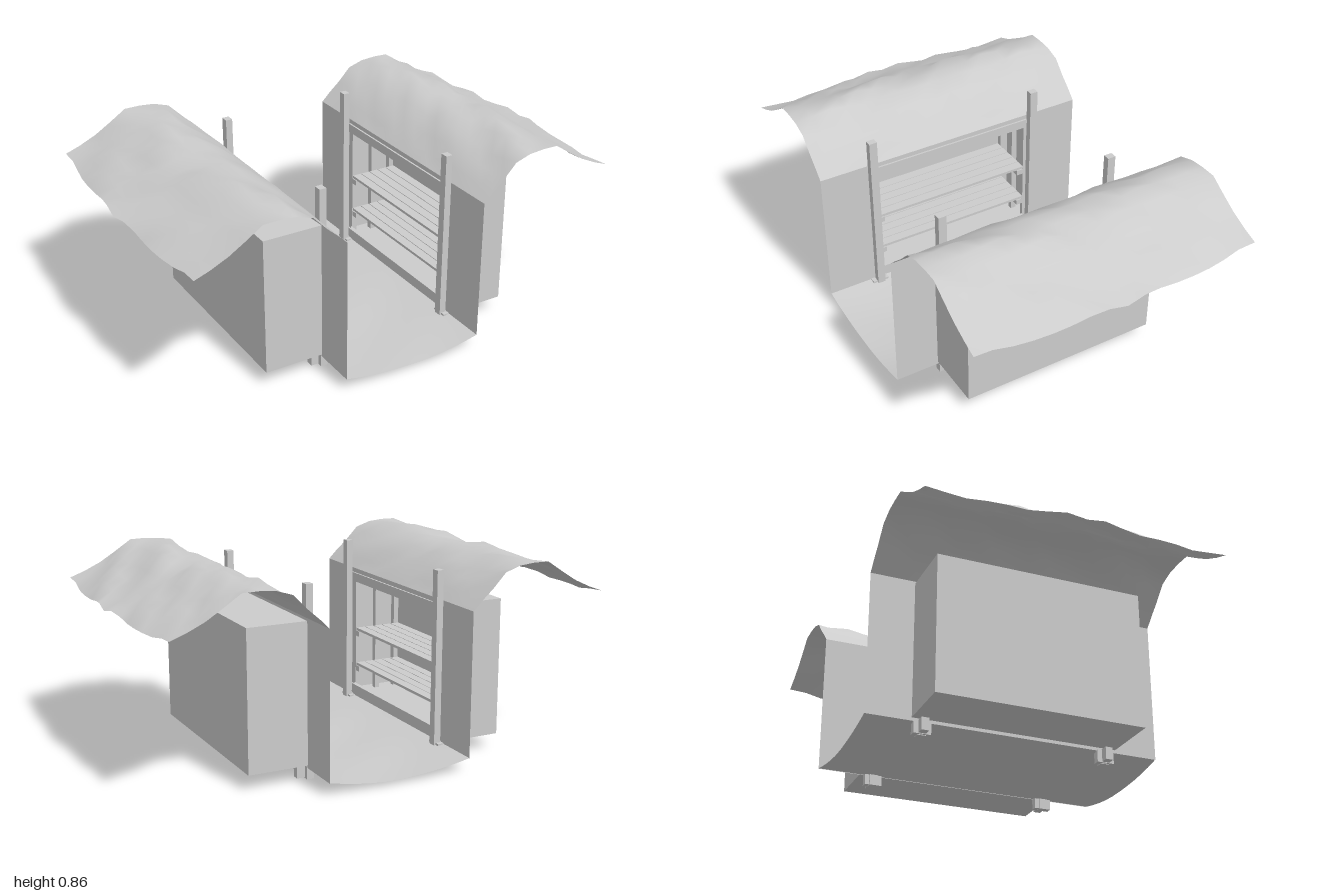
import * as THREE from 'three';

const mat = new THREE.MeshStandardMaterial({ color: 0xcccccc, side: THREE.DoubleSide });
const LEN = 0.636; // half length of the trench

function add(parent, name, geo, x = 0, y = 0, z = 0) {
  const m = new THREE.Mesh(geo, mat);
  m.name = name;
  m.position.set(x, y, z);
  parent.add(m);
  return m;
}

// Box given by its min and max corners
function block(parent, name, x0, x1, y0, y1, z0, z1) {
  return add(parent, name, new THREE.BoxGeometry(x1 - x0, y1 - y0, z1 - z0),
    (x0 + x1) / 2, (y0 + y1) / 2, (z0 + z1) / 2);
}

// Surface from a rule: f(u, v) -> [x, y, z], with u across and v along the trench
function sheet(nu, nv, f) {
  const geo = new THREE.PlaneGeometry(1, 1, nu, nv);
  const p = geo.attributes.position;
  for (let i = 0; i < p.count; i++) p.setXYZ(i, ...f(p.getX(i) + 0.5, 0.5 - p.getY(i)));
  // Reverse the winding so the faces look upward
  const idx = geo.index.array;
  for (let i = 0; i < idx.length; i += 3) [idx[i], idx[i + 1]] = [idx[i + 1], idx[i]];
  geo.computeVertexNormals();
  if (geo.attributes.normal.getY(Math.floor(p.count / 2)) < 0) {
    for (let i = 0; i < idx.length; i += 3) [idx[i], idx[i + 1]] = [idx[i + 1], idx[i]];
    geo.computeVertexNormals();
  }
  return geo;
}

// Mound cross-section, from the wall top out to the rim
const mound = [[0.32, 0.67], [0.36, 0.71], [0.41, 0.76], [0.47, 0.80], [0.54, 0.843],
  [0.61, 0.848], [0.68, 0.835], [0.76, 0.79], [0.83, 0.755], [0.91, 0.72], [0.98, 0.68]];

function bankGeometry(s) {
  const n = mound.length - 1;
  return sheet(n, 16, (u, v) => {
    const k = Math.round(u * n), z = (v * 2 - 1) * LEN, a = Math.abs(z);
    const rough = Math.min(1, k / 3);
    let [x, y] = mound[k];
    y += rough * (0.009 * Math.sin(a * 13 + k * 1.9) + 0.006 * Math.cos(a * 23 - k * 2.7));
    if (k > 3 && k < 8) y -= 0.012 * Math.max(0, 1 - a / 0.16);
    if (k === n) y = Math.max(y, 0.675);
    x += (k / n) ** 3 * (0.018 * Math.cos(a * 4.5) + 0.006 * Math.cos(a * 17) - 0.005);
    return [s * x, y, z];
  });
}

// Trench wall with the dugout opening, in the plane x = const
function wallGeometry() {
  const shape = new THREE.Shape([[-LEN, 0.052], [LEN, 0.052], [LEN, 0.67], [-LEN, 0.67]]
    .map(p => new THREE.Vector2(...p)));
  shape.holes.push(new THREE.Path([[-0.37, 0.10], [-0.37, 0.61], [0.37, 0.61], [0.37, 0.10]]
    .map(p => new THREE.Vector2(...p))));
  return new THREE.ShapeGeometry(shape).rotateY(-Math.PI / 2);
}

// One side at +x: dugout, bunks, frame and posts
function buildDugout() {
  const g = new THREE.Group();
  // Thin shell, open toward the trench
  const t = 0.006, X0 = 0.322, X1 = 0.58, Y0 = 0.065, Y1 = 0.66, Z = 0.445;
  block(g, 'dugoutBack', X1 - t, X1, Y0, Y1, -Z, Z);
  block(g, 'dugoutFloor', X0, X1 - t, Y0, Y0 + t, -Z, Z);
  block(g, 'dugoutRoof', X0, X1 - t, Y1 - t, Y1, -Z, Z);
  for (const s of [-1, 1]) {
    const z = s * (Z - t / 2);
    block(g, 'dugoutEnd', X0, X1 - t, Y0 + t, Y1 - t, z - t / 2, z + t / 2);
  }

  // Plank bunks on rails and uprights
  for (const y of [0.21, 0.38]) {
    for (let i = 0; i < 5; i++) {
      const x = 0.335 + i * 0.046;
      block(g, 'bunkPlank', x, x + 0.043, y - 0.012, y, -0.38, 0.38);
    }
    for (const z of [-0.36, 0.36])
      block(g, 'bunkRail', 0.33, 0.57, y - 0.037, y - 0.012, z - 0.015, z + 0.015);
  }
  for (const z of [-0.395, 0.395])
    for (const x of [0.345, 0.45, 0.55])
      block(g, 'bunkUpright', x - 0.012, x + 0.012, 0.07, 0.6, z - 0.013, z + 0.013);

  // Frame around the opening
  block(g, 'headerBeam', 0.312, 0.332, 0.61, 0.65, -0.40, 0.40);
  block(g, 'sillBeam', 0.312, 0.332, 0.07, 0.11, -0.40, 0.40);

  // Posts with cross-shaped feet
  for (const z of [-0.4, 0.4]) {
    block(g, 'post', 0.284, 0.314, 0, 0.8, z - 0.018, z + 0.018);
    block(g, 'footAcross', 0.288, 0.356, 0.006, 0.06, z - 0.016, z + 0.016);
    block(g, 'footAlong', 0.292, 0.322, 0.003, 0.057, z - 0.037, z + 0.037);
  }
  return g;
}

export function createModel() {
  const root = new THREE.Group();
  root.name = 'trench';

  // Sagging trench floor
  add(root, 'trenchFloor', sheet(10, 16, (u, v) => {
    const x = (u * 2 - 1) * 0.32, z = (v * 2 - 1) * LEN, r = Math.abs(x) / 0.32;
    const bump = 0.003 * Math.sin(z * 14 + x * 9) * (1 - r);
    return [x, 0.018 + 0.036 * r * r + bump, z];
  }));

  for (const s of [1, -1]) {
    const side = s > 0 ? 'left' : 'right';
    add(root, side + 'Bank', bankGeometry(s));
    add(root, side + 'Wall', wallGeometry(), s * 0.32);
    const dugout = buildDugout();
    dugout.name = side + 'Dugout';
    if (s < 0) dugout.rotation.y = Math.PI;
    root.add(dugout);
  }
  return root;
}
